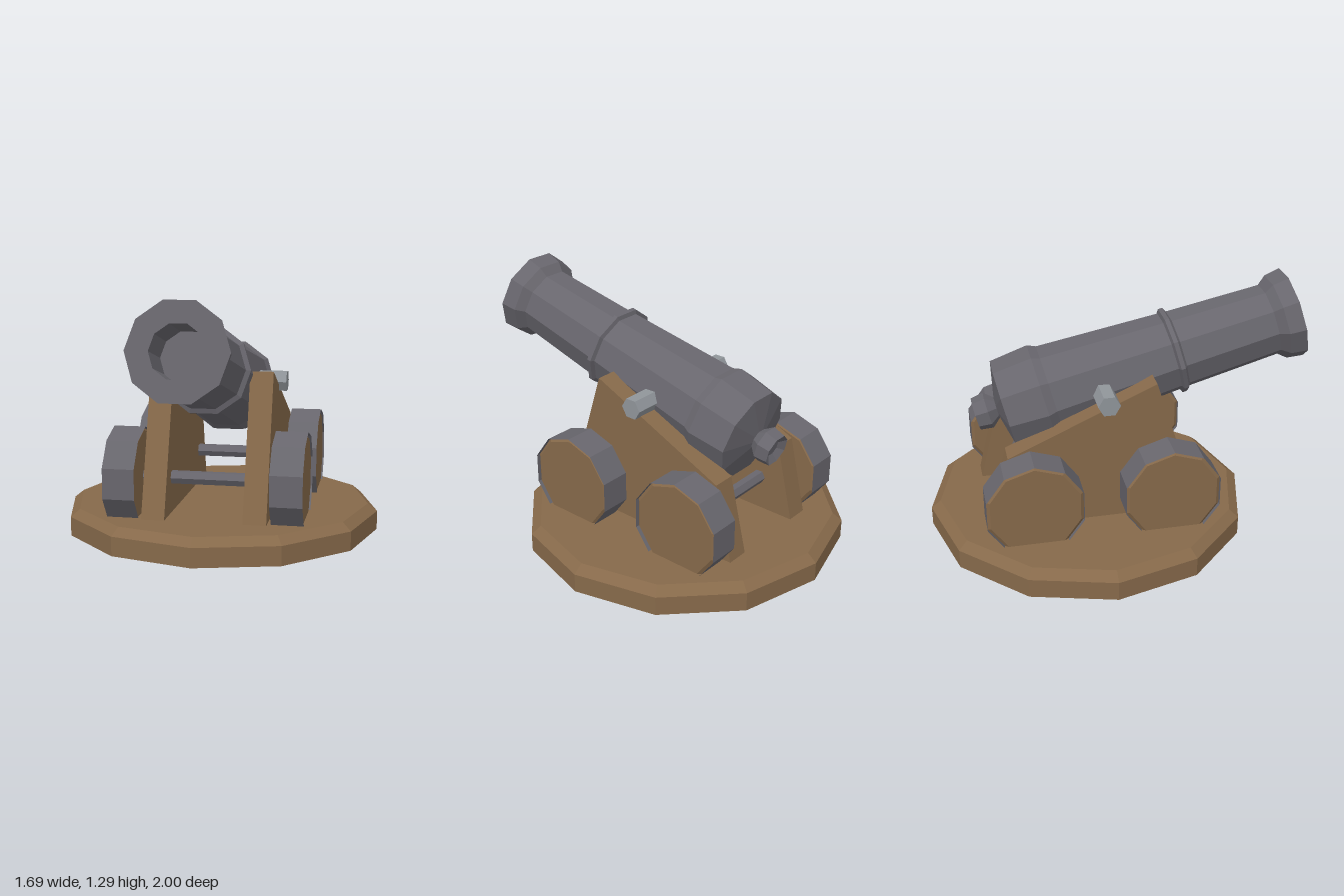
import * as THREE from 'three';

const mat = (name, color, side = THREE.FrontSide) => {
  const m = new THREE.MeshStandardMaterial({ color, flatShading: true, side });
  m.name = name;
  return m;
};

export function createModel() {
  const wood = mat('wood', 0x86694a);
  const iron = mat('dark iron', 0x68666d, THREE.DoubleSide);
  const steel = mat('pale steel', 0x90959a);

  const model = new THREE.Group();
  model.name = 'cannon';
  const add = (name, geometry, material, parent = model) => {
    const mesh = new THREE.Mesh(geometry, material);
    mesh.name = name;
    parent.add(mesh);
    return mesh;
  };
  const lathe = (points, sides, start) =>
    new THREE.LatheGeometry(points.map(([r, y]) => new THREE.Vector2(r, y)), sides, start);

  // Twelve-sided platform with a bevelled top edge
  add('platform', lathe([[0, 0], [0.845, 0], [0.845, 0.1], [0.795, 0.14], [0, 0.14]], 12, 0), wood)
    .position.z = -0.155;

  // Carriage cheeks: side profile drawn in (-z, y), then turned to face sideways
  const profile = new THREE.Shape(
    [[-0.39, 0.13], [0.71, 0.13], [0.61, 0.54], [-0.15, 0.88]].map(([a, b]) => new THREE.Vector2(a, b)));
  const cheek = new THREE.ExtrudeGeometry(profile, { depth: 0.12, bevelEnabled: false });
  cheek.rotateY(Math.PI / 2);
  add('leftCheek', cheek, wood).position.x = 0.2;
  add('rightCheek', cheek, wood).position.x = -0.32;

  // Axles and wheels
  const tread = new THREE.CylinderGeometry(0.255, 0.255, 0.165, 10, 1, true, Math.PI / 2);
  const disc = lathe(
    [[0, -0.075], [0.237, -0.075], [0.254, -0.062], [0.254, 0.062], [0.237, 0.075], [0, 0.075]],
    10, Math.PI / 2);
  const axle = new THREE.CylinderGeometry(0.036, 0.036, 0.8, 6);
  [tread, disc, axle].forEach((g) => g.rotateZ(Math.PI / 2));
  for (const [end, z] of [['front', 0.2], ['rear', -0.5]]) {
    add(end + 'Axle', axle, iron).position.set(0, 0.325, z);
    for (const [side, s] of [['Left', 1], ['Right', -1]]) {
      const wheel = new THREE.Group();
      wheel.name = end + side + 'Wheel';
      wheel.position.set(s * 0.4225, 0.33, z);
      add('wheelTread', tread, iron, wheel);
      add('wheelDisc', disc, wood, wheel);
      model.add(wheel);
    }
  }

  // Barrel assembly, tilted about the trunnions
  const gun = new THREE.Group();
  gun.name = 'gun';
  gun.position.set(0, 0.8, -0.1);
  gun.rotation.x = Math.PI / 2 - THREE.MathUtils.degToRad(14.2);
  model.add(gun);

  // Breech, reinforcing ring, muzzle flare and hollow bore in one profile
  add('barrel', lathe([
    [0, -0.54], [0.05, -0.54], [0.24, -0.498], [0.26, -0.294], [0.24, -0.25],
    [0.209, 0.4], [0.23, 0.41], [0.23, 0.432], [0.206, 0.445],
    [0.19, 0.95], [0.227, 0.995], [0.24, 1.08], [0.13, 1.08], [0.13, 0.85], [0, 0.85],
  ], 10, Math.PI / 10), iron, gun);

  // Rear knob with a shallow hollow in its end
  add('breechKnob', lathe([
    [0, -0.625], [0.045, -0.625], [0.085, -0.652], [0.095, -0.585], [0.052, -0.535],
  ], 8, Math.PI / 8), iron, gun);

  // Trunnion pin through the barrel and cheeks
  const pin = new THREE.CylinderGeometry(0.057, 0.057, 0.72, 6);
  pin.rotateZ(Math.PI / 2);
  add('trunnions', pin, steel).position.set(0, 0.8, -0.1);

  return model;
}
